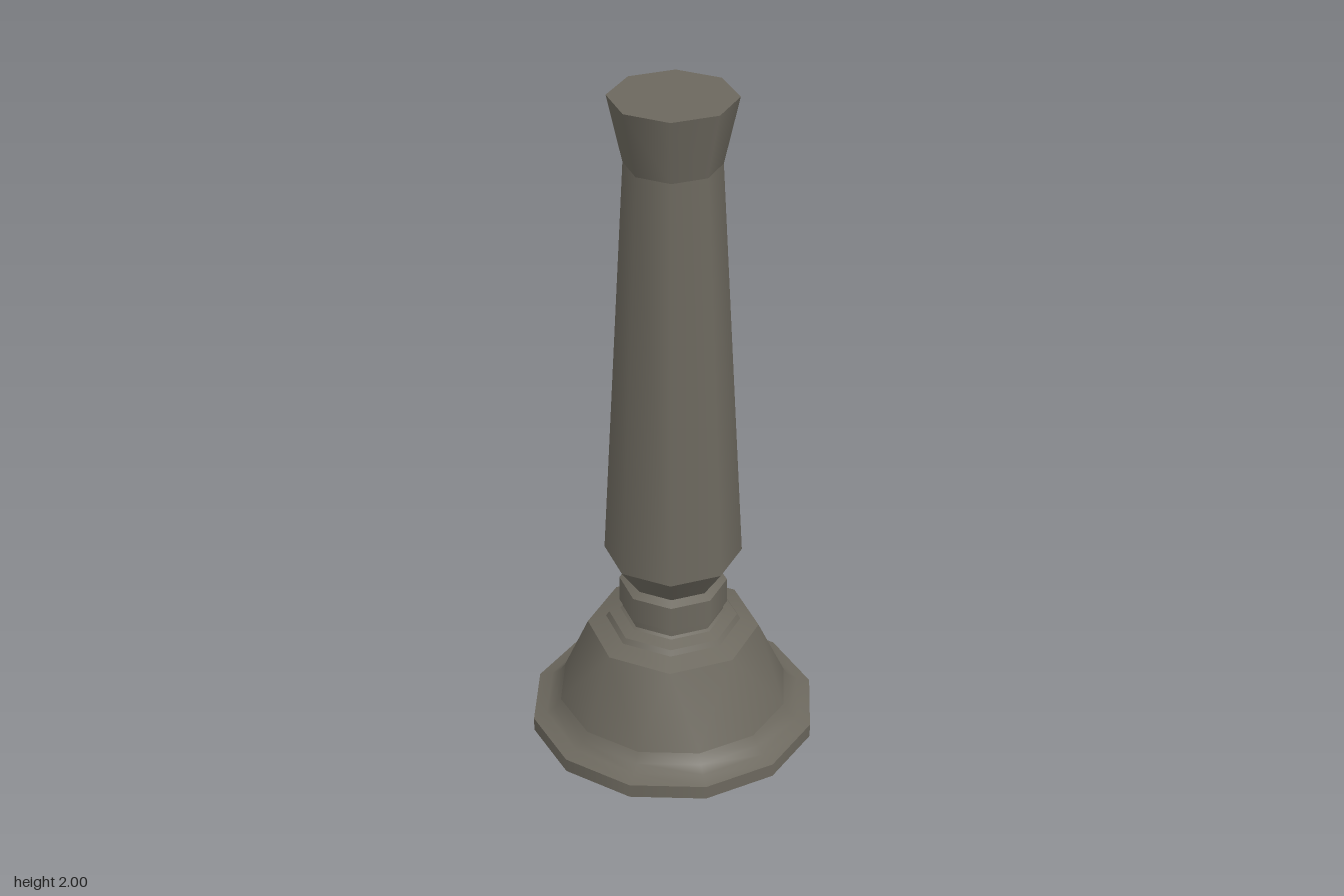
import * as THREE from 'three';

const stone = new THREE.MeshStandardMaterial({ color: 0x6c685e, side: THREE.DoubleSide });
stone.name = 'darkStone';

// Ring of points with one corner on each axis
function ring(radius, y, sides) {
  return Array.from({ length: sides }, (_, i) => {
    const a = (i / sides) * Math.PI * 2;
    return [Math.sin(a) * radius, y, Math.cos(a) * radius];
  });
}

// Wall joining two rings with different numbers of sides
function transition(r0, y0, n0, r1, y1, n1) {
  const index = [];
  let i = 0, j = 0;
  while (i < n0 || j < n1) {
    const a = i % n0, b = n0 + (j % n1);
    if (j === n1 || (i < n0 && (i + 0.5) / n0 <= (j + 0.5) / n1)) {
      index.push(a, (i + 1) % n0, b);
      i++;
    } else {
      index.push(a, n0 + ((j + 1) % n1), b);
      j++;
    }
  }
  const geo = new THREE.BufferGeometry();
  const points = [...ring(r0, y0, n0), ...ring(r1, y1, n1)].flat();
  geo.setAttribute('position', new THREE.Float32BufferAttribute(points, 3));
  geo.setIndex(index);
  geo.computeVertexNormals();
  return geo;
}

export function createModel() {
  const model = new THREE.Group();
  model.name = 'pillar';

  function add(parent, name, geometry) {
    const mesh = new THREE.Mesh(geometry, stone);
    mesh.name = name;
    parent.add(mesh);
    return mesh;
  }

  // Separate bands keep the horizontal edges crisp and the sides smooth
  function turned(name, sides, profile) {
    const group = new THREE.Group();
    group.name = name;
    for (let i = 0; i < profile.length - 1; i++) {
      const pts = [profile[i], profile[i + 1]].map(([r, y]) => new THREE.Vector2(r, y));
      add(group, name + 'Band' + (i + 1), new THREE.LatheGeometry(pts, sides));
    }
    model.add(group);
  }

  // Hollow twelve-sided foot, open underneath
  turned('footRim', 12, [[0.425, 0], [0.425, 0.042]]);
  const cove = [[0.425, 0.042], [0.385, 0.055], [0.36, 0.072], [0.342, 0.1]];
  add(model, 'footCove', new THREE.LatheGeometry(cove.map(([r, y]) => new THREE.Vector2(r, y)), 12));

  // Sloping bell changes from twelve sides to eight
  add(model, 'bell', transition(0.342, 0.1, 12, 0.252, 0.323, 8));

  // Stepped ledge, collar and neck
  turned('ledge', 8, [[0.252, 0.323], [0.198, 0.345], [0.188, 0.36], [0.155, 0.374], [0.147, 0.38], [0.147, 0.4]]);
  turned('collar', 8, [[0.147, 0.4], [0.158, 0.405], [0.157, 0.483], [0.133, 0.497]]);

  // Tapered shaft with flared head
  turned('shaft', 8, [[0.133, 0.497], [0.199, 0.59], [0.134, 1.81], [0.176, 2]]);
  const cap = add(model, 'topCap', new THREE.CircleGeometry(0.176, 8));
  cap.rotation.x = -Math.PI / 2;
  cap.position.y = 2;

  return model;
}
